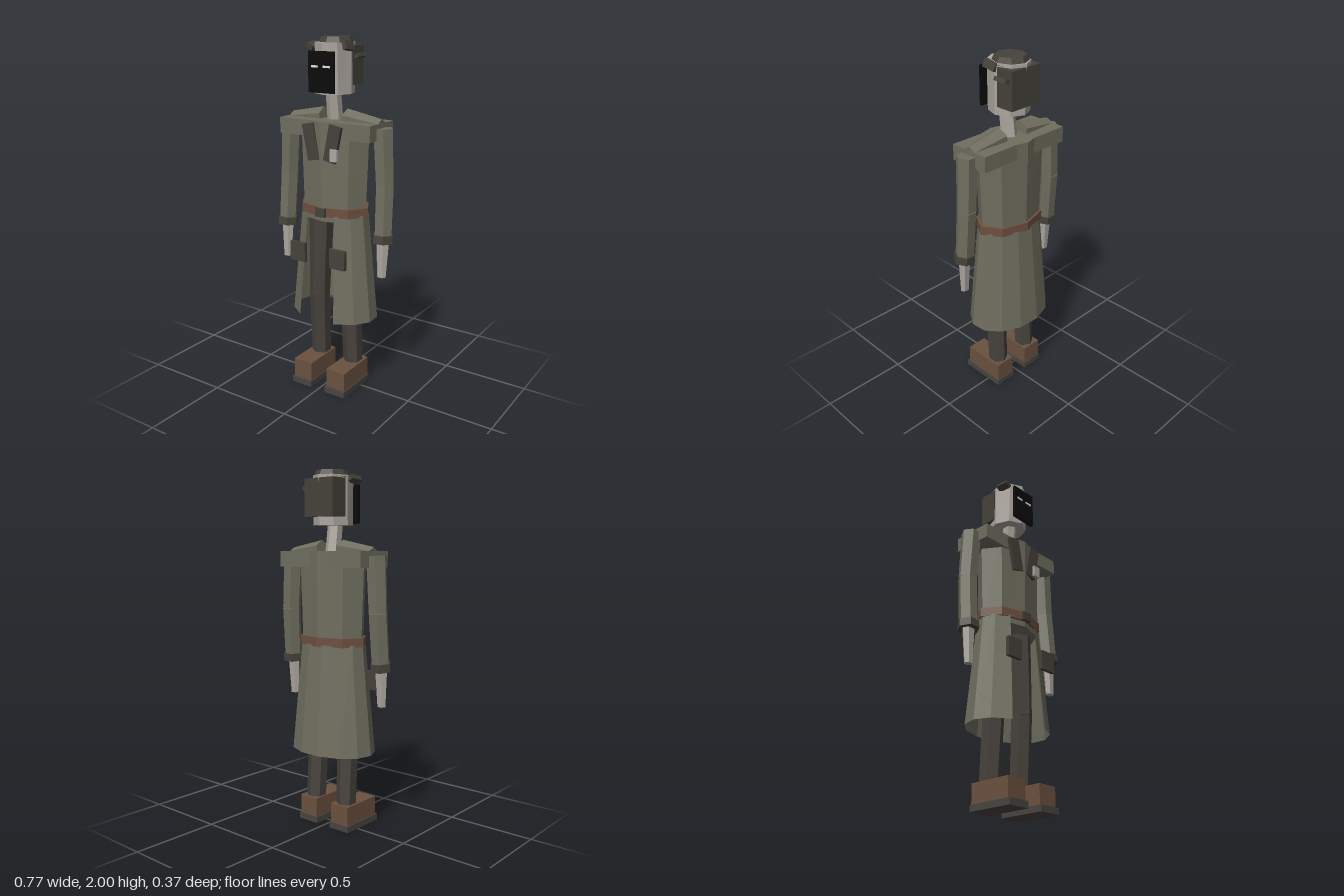
import * as THREE from 'three';

const mat = (name, color) => new THREE.MeshStandardMaterial({ name, color });

export function createModel() {
  const root = new THREE.Group();
  root.name = 'coatedFigure';

  const coat = mat('coatOlive', 0x6f6e5f);
  coat.side = THREE.DoubleSide;
  const dark = mat('darkCloth', 0x46423b);
  const trousers = mat('trouserCharcoal', 0x47433d);
  const sole = mat('soleGrey', 0x474541);
  const leather = mat('bootBrown', 0x6b5140);
  const beltBrown = mat('beltBrown', 0x6e5040);
  const skin = mat('paleSkin', 0xaca69e);
  const black = mat('maskBlack', 0x0a0a0a);
  const white = mat('eyeWhite', 0xe4e4e0);
  const metal = mat('badgeGrey', 0xaaa9a2);

  // Faceted mesh: unshared corners give each face its own normal
  function add(name, geometry, material, parent = root) {
    const g = geometry.index ? geometry.toNonIndexed() : geometry;
    g.computeVertexNormals();
    const mesh = new THREE.Mesh(g, material);
    mesh.name = name;
    parent.add(mesh);
    return mesh;
  }

  function box(name, material, size, pos, rotZ = 0, rotX = 0) {
    const mesh = add(name, new THREE.BoxGeometry(...size), material);
    mesh.position.set(...pos);
    mesh.rotation.set(rotX, 0, rotZ);
    return mesh;
  }

  // Upright tapered prism with an elliptical section, from y0 to y1
  function prism(name, material, y0, y1, bottom, top, sides = 8, z = 0, open = false, start = 0, arc = Math.PI * 2) {
    const g = new THREE.CylinderGeometry(1, 1, y1 - y0, sides, 1, open, start, arc);
    const p = g.attributes.position;
    for (let i = 0; i < p.count; i++) {
      const r = p.getY(i) > 0 ? top : bottom;
      p.setX(i, p.getX(i) * r[0]);
      p.setZ(i, p.getZ(i) * r[1]);
    }
    g.translate(0, (y0 + y1) / 2, z);
    return add(name, g, material);
  }

  // Six-sided limb from a (lower) to b (upper)
  function limb(name, material, a, b, ra, rb, start = 0, flat = 1) {
    const from = new THREE.Vector3(...a), to = new THREE.Vector3(...b);
    const dir = to.clone().sub(from);
    const g = new THREE.CylinderGeometry(rb, ra, dir.length(), 6, 1, false, start);
    g.scale(1, 1, flat);
    const mesh = add(name, g, material);
    mesh.position.copy(from).add(to).multiplyScalar(0.5);
    mesh.quaternion.setFromUnitVectors(new THREE.Vector3(0, 1, 0), dir.normalize());
    return mesh;
  }

  // Torso, yoke and open-fronted coat skirt
  prism('torso', coat, 1.015, 1.565, [0.2, 0.132], [0.22, 0.141]);
  box('shoulderYoke', coat, [0.58, 0.087, 0.238], [0, 1.522, -0.004]);
  prism('coatSkirt', coat, 0.44, 1.055, [0.265, 0.19], [0.205, 0.14], 11, 0, true, 0.4, 5.35);

  // Belt and buckle
  prism('belt', beltBrown, 1.045, 1.095, [0.217, 0.147], [0.217, 0.147]);
  box('buckle', dark, [0.062, 0.05, 0.018], [0, 1.07, 0.143]);

  // Chest badge
  box('badge', metal, [0.046, 0.065, 0.02], [0.088, 1.395, 0.142]);

  // Parts on both sides; s = 1 is the model's left
  for (const s of [1, -1]) {
    const side = s > 0 ? 'left' : 'right';

    // Coat details
    limb(side + 'ShoulderPad', coat, [s * 0.285, 1.543, -0.008], [s * 0.07, 1.565, -0.006],
      0.044, 0.062, s > 0 ? Math.PI / 6 : Math.PI / 6).rotateY(Math.PI / 3);
    box(side + 'Lapel', dark, [0.075, 0.2, 0.02], [s * 0.069, 1.452, 0.127], -s * 0.2);
    box(side + 'Pocket', dark, [0.1, 0.11, 0.022], [s * 0.132, 0.83, 0.172]);

    // Arm
    const q = Math.PI / 6;
    const elbow = [s * 0.317, 1.235, -0.003];
    const wrist = [s * 0.323, 0.95, 0.017];
    limb(side + 'UpperArm', coat, elbow, [s * 0.3, 1.54, -0.001], 0.054, 0.058, q);
    limb(side + 'Forearm', coat, wrist, elbow, 0.052, 0.054, q);
    limb(side + 'Cuff', dark, [s * 0.324, 0.922, 0.02], [s * 0.323, 0.967, 0.016], 0.062, 0.06, q);
    limb(side + 'Hand', skin, [s * 0.323, 0.725, 0.026], [s * 0.323, 0.93, 0.02], 0.027, 0.04, q, 0.75);

    // Leg and boot
    const knee = [s * 0.108, 0.545, 0.002];
    limb(side + 'Thigh', trousers, knee, [s * 0.093, 1.02, 0], 0.06, 0.07);
    limb(side + 'Shin', trousers, [s * 0.113, 0.13, -0.02], knee, 0.056, 0.06);
    box(side + 'Boot', leather, [0.122, 0.112, 0.255], [s * 0.115, 0.089, 0.043]);
    box(side + 'Sole', sole, [0.134, 0.035, 0.275], [s * 0.115, 0.0175, 0.048]);

    // Eye slit
    box(side + 'Eye', white, [0.042, 0.011, 0.006], [s * 0.037, 1.852, 0.137]);
  }

  // Neck and head
  limb('neck', skin, [0, 1.55, -0.003], [0, 1.74, 0.022], 0.043, 0.042);
  prism('head', skin, 1.705, 1.972, [0.104, 0.115], [0.1, 0.124]);
  box('faceMask', black, [0.16, 0.213, 0.016], [0, 1.823, 0.127]);

  // Hair: crown, back block and loose tufts
  prism('hairCrown', dark, 1.96, 2, [0.098, 0.105], [0.08, 0.085], 8, -0.012);
  box('hairBack', dark, [0.202, 0.205, 0.105], [0, 1.852, -0.07]);
  box('hairTuftBack', dark, [0.035, 0.022, 0.08], [0.114, 1.902, -0.065], 0.4);
  box('hairTuftLeft', dark, [0.022, 0.045, 0.08], [0.1, 1.955, 0.03], 0.35, -0.15);
  box('hairTuftRight', dark, [0.042, 0.026, 0.08], [-0.098, 1.953, 0.06], -0.5, 0.1);

  return root;
}
